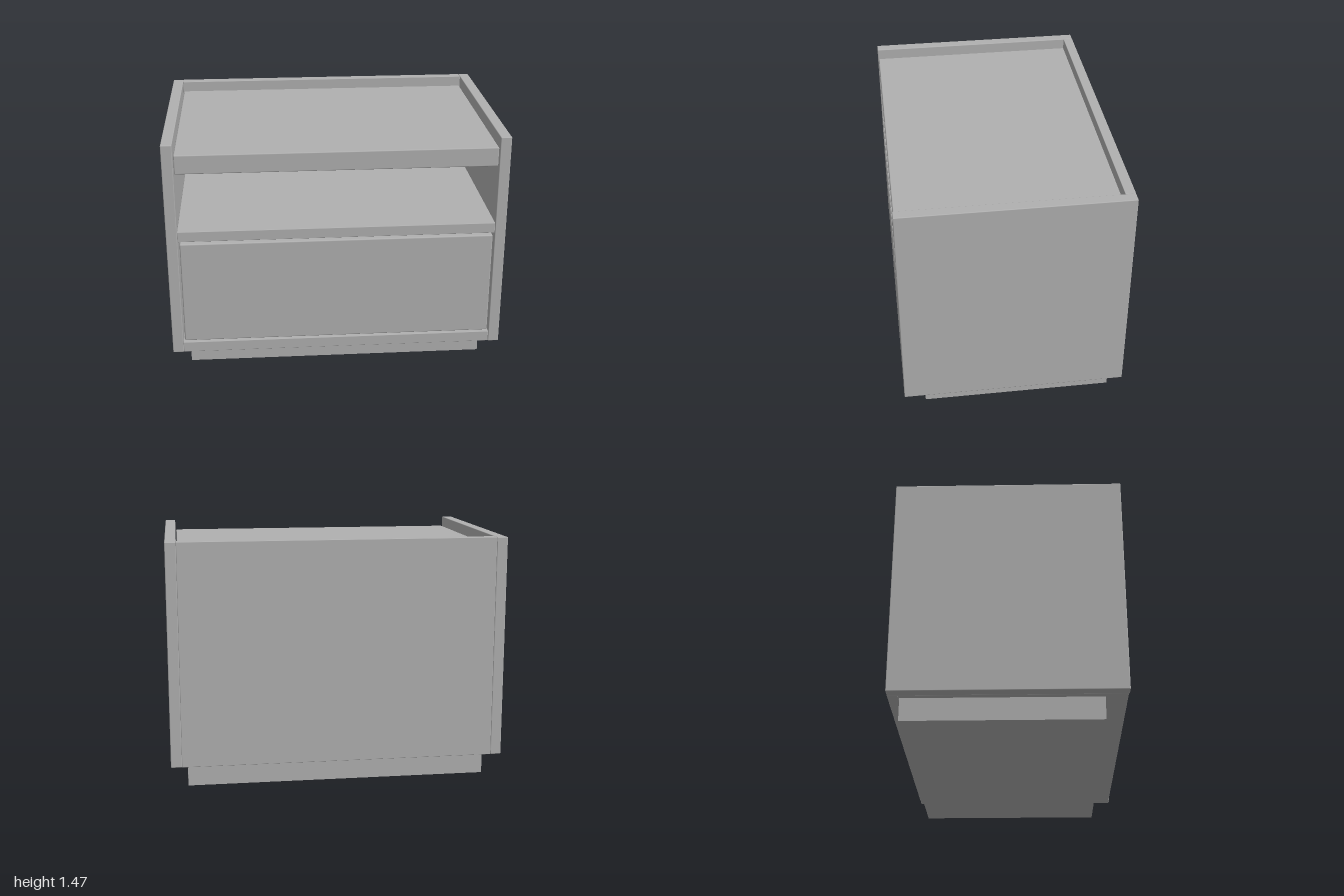
import * as THREE from 'three';
import { RoundedBoxGeometry } from 'three/addons/geometries/RoundedBoxGeometry.js';

export function createModel() {
  const group = new THREE.Group();
  group.name = 'nightstand';
  const grey = new THREE.MeshStandardMaterial({ color: 0xb0b0b0 });
  grey.name = 'plain grey';

  // Panel spanning the given limits, with finely eased edges
  function panel(name, [x0, x1], [y0, y1], [z0, z1], ease = 0.005) {
    const size = [x1 - x0, y1 - y0, z1 - z0];
    const geometry = ease > 0
      ? new RoundedBoxGeometry(...size, 2, ease)
      : new THREE.BoxGeometry(...size);
    const mesh = new THREE.Mesh(geometry, grey);
    mesh.name = name;
    mesh.position.set((x0 + x1) / 2, (y0 + y1) / 2, (z0 + z1) / 2);
    group.add(mesh);
  }

  const bottom = 0.135, top = 1.465, front = 0.665, back = -0.665;
  const innerX = 0.935, innerBack = -0.605;
  const inside = [-innerX, innerX];

  // Carcass
  panel('leftSide', [innerX, 1], [bottom, top], [back, front]);
  panel('rightSide', [-1, -innerX], [bottom, top], [back, front]);
  panel('backPanel', inside, [bottom, top], [back, innerBack], 0.003);
  panel('bottomPanel', inside, [bottom, 0.2], [innerBack, 0.66], 0.003);
  panel('shelf', inside, [0.867, 0.93], [innerBack, 0.66], 0.003);

  // Thick top set below the rim
  panel('topPanel', [-0.93, 0.93], [1.288, 1.402], [innerBack, 0.66], 0.006);

  // Drawer front with its box behind
  panel('drawerFront', [-0.924, 0.924], [0.215, 0.853], [0.6, front], 0.007);
  const boxY = [0.23, 0.8];
  for (const [name, s] of [['drawerLeftSide', 1], ['drawerRightSide', -1]]) {
    panel(name, [s * 0.885 - 0.02, s * 0.885 + 0.02], boxY, [-0.56, 0.6], 0);
  }
  panel('drawerBack', [-0.865, 0.865], boxY, [-0.56, -0.52], 0);
  panel('drawerBottom', [-0.865, 0.865], [0.23, 0.26], [-0.52, 0.6], 0);

  // Recessed plinth
  panel('plinth', [-0.9, 0.9], [0, bottom], [-0.6, 0.535], 0);

  return group;
}
